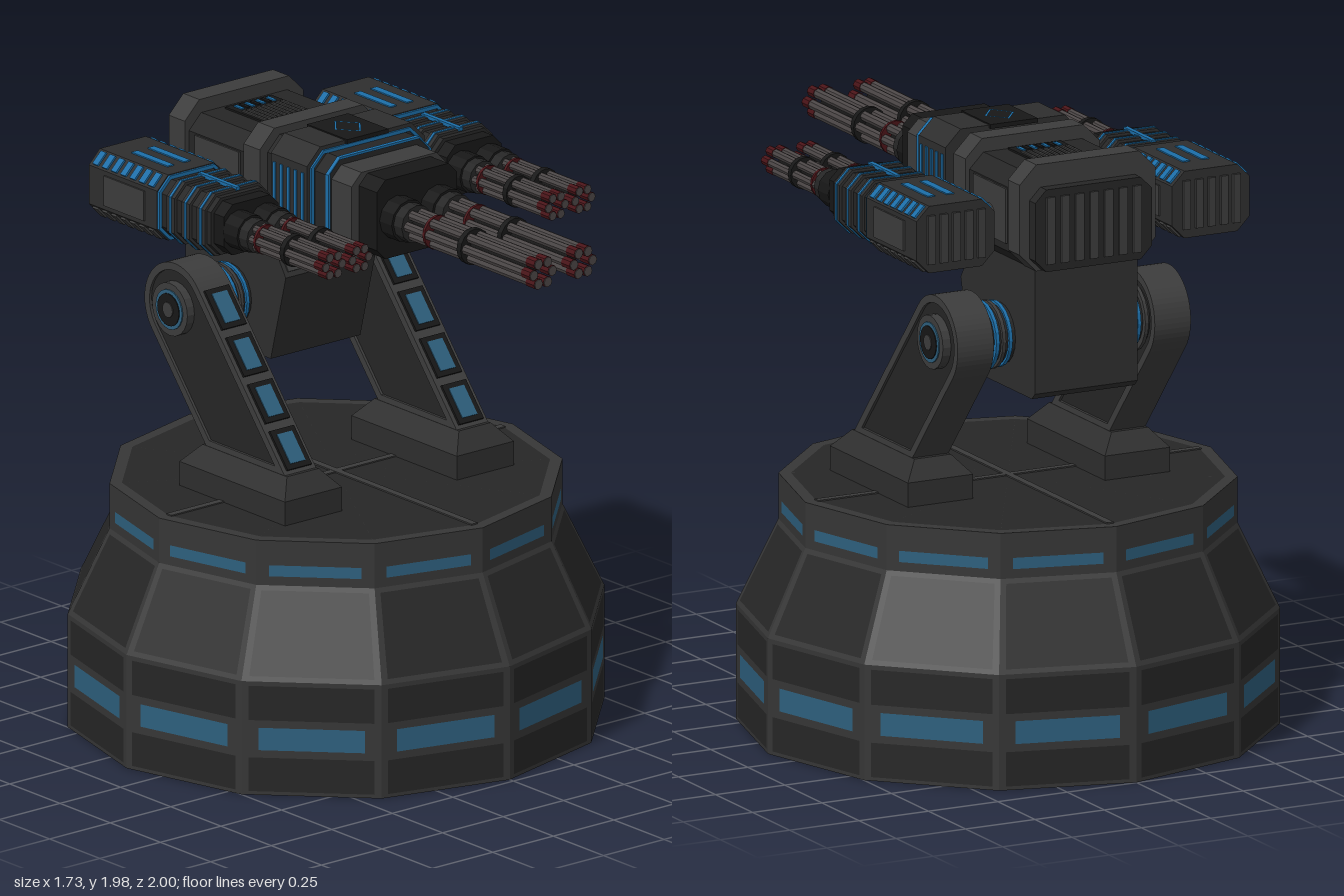
import * as THREE from 'three';
import { mergeGeometries } from 'three/addons/utils/BufferGeometryUtils.js';

const mat = (color, side = THREE.FrontSide) => new THREE.MeshStandardMaterial({ color, side, flatShading: true });
const DARK = mat(0x252525), MID = mat(0x2e2e2e), LIGHT = mat(0x3c3c3c), BLACK = mat(0x171717);
const BLUE = mat(0x1c6ea8), GLASS = mat(0x2d5f7d), RED = mat(0x4a1418), STEEL = mat(0x4b4646);

function add(parent, name, geo, material, x = 0, y = 0, z = 0) {
  const m = new THREE.Mesh(geo, material);
  m.name = name;
  m.position.set(x, y, z);
  parent.add(m);
  return m;
}
function group(parent, name, x = 0, y = 0, z = 0) {
  const g = new THREE.Group();
  g.name = name;
  g.position.set(x, y, z);
  parent.add(g);
  return g;
}
const box = (w, h, d) => new THREE.BoxGeometry(w, h, d);
const rodX = (r, len, n = 20) => new THREE.CylinderGeometry(r, r, len, n).rotateZ(Math.PI / 2);
const rodZ = (r, z0, z1, n = 16) =>
  new THREE.CylinderGeometry(r, r, z1 - z0, n).rotateX(Math.PI / 2).translate(0, 0, (z0 + z1) / 2);

// Rectangle with cut corners
function cutRect(w, h, c, Type = THREE.Shape) {
  const a = w / 2, b = h / 2;
  return new Type([[-a + c, -b], [a - c, -b], [a, -b + c], [a, b - c], [a - c, b], [-a + c, b], [-a, b - c], [-a, -b + c]]
    .map(p => new THREE.Vector2(...p)));
}
// Cut-corner block running from z0 to z1, optionally hollowed to a rim of thickness t
function slab(w, h, c, z0, z1, t = 0) {
  const s = cutRect(w, h, c);
  if (t) s.holes.push(cutRect(w - 2 * t, h - 2 * t, c * 0.8, THREE.Path));
  return new THREE.ExtrudeGeometry(s, { depth: z1 - z0, bevelEnabled: false }).translate(0, 0, z0);
}
// Side profile (z, y) extruded across x, centred on x = 0
const extrudeX = (shape, width) => new THREE.ExtrudeGeometry(shape, { depth: width, bevelEnabled: false, curveSegments: 14 })
  .rotateY(-Math.PI / 2).translate(width / 2, 0, 0);

// Twelve-sided open shell, tiled with ribs, plates and windows
function buildBase(root) {
  const g = group(root, 'base', 0, 0, -0.133);
  const slope = y => 0.865 - (y - 0.38) * 0.482;
  const rows = [ // r0, y0, r1, y1, cell type, half-width of cell
    [0.865, 0, 0.865, 0.012, 'rib'], [0.865, 0.012, 0.865, 0.125, 'plate', 0.9],
    [0.865, 0.125, 0.865, 0.15, 'rib'], [0.865, 0.15, 0.865, 0.225, 'window', 0.76],
    [0.865, 0.225, 0.865, 0.25, 'rib'], [0.865, 0.25, 0.865, 0.365, 'plate', 0.9],
    [0.865, 0.365, 0.865, 0.38, 'rib'], [0.865, 0.38, slope(0.395), 0.395, 'rib'],
    [slope(0.395), 0.395, slope(0.645), 0.645, 'plate', 0.9], [slope(0.645), 0.645, 0.73, 0.66, 'rib'],
    [0.73, 0.66, 0.73, 0.69, 'rib'], [0.73, 0.69, 0.73, 0.727, 'window', 0.78], [0.73, 0.727, 0.73, 0.81, 'rib'],
    [0.73, 0.81, 0.69, 0.81, 'rib'], [0.69, 0.81, 0.001, 0.81, 'plate', 0.999]];
  const cells = { rib: [], plate: [], window: [] };
  const sx = Math.sin(Math.PI / 12), cz = Math.cos(Math.PI / 12);
  for (let k = 0; k < 12; k++) {
    const cell = (type, [r0, y0, r1, y1], u0, u1) => {
      const pt = (u, r, y) => [u * r * sx, y, r * cz];
      const a = pt(u0, r0, y0), b = pt(u1, r0, y0), c = pt(u1, r1, y1), d = pt(u0, r1, y1);
      const q = new THREE.BufferGeometry();
      q.setAttribute('position', new THREE.Float32BufferAttribute([a, b, c, a, c, d].flat(), 3));
      q.computeVertexNormals();
      cells[type].push(q.rotateY((k + 0.5) * Math.PI / 6));
    };
    for (const row of rows) {
      const [type, u] = row.slice(4);
      if (type === 'rib') { cell('rib', row, -1, 1); continue; }
      cell('rib', row, -1, -u);
      cell(type, row, -u, u);
      cell('rib', row, u, 1);
    }
  }
  add(g, 'baseRibs', mergeGeometries(cells.rib), mat(0x363636, THREE.DoubleSide));
  add(g, 'basePlates', mergeGeometries(cells.plate), mat(0x262626, THREE.DoubleSide));
  add(g, 'baseWindows', mergeGeometries(cells.window), mat(0x2d5f7d, THREE.DoubleSide));
  add(g, 'deckSeam', box(1.38, 0.006, 0.025), LIGHT, 0, 0.811, 0);
  add(g, 'deckSeam', box(0.025, 0.006, 1.38), LIGHT, 0, 0.8115, 0);
}

// Slanted arm outline with a round top end of radius r
function legOutline(r, yBottom, Type) {
  const ang = 0.697, nz = Math.cos(ang), ny = Math.sin(ang), k = Math.tan(ang);
  const p = new Type(), c = [-0.43, 1.37];
  p.moveTo(c[0] + r * nz + (c[1] + r * ny - yBottom) * k, yBottom);
  p.lineTo(c[0] + r * nz, c[1] + r * ny);
  p.absarc(c[0], c[1], r, ang, ang + Math.PI, false);
  p.lineTo(c[0] - r * nz + (c[1] - r * ny - yBottom) * k, yBottom);
  p.closePath();
  return p;
}

function buildLeg(root, s) {
  const g = group(root, s > 0 ? 'leftLeg' : 'rightLeg', s * 0.355);
  add(g, 'foot', box(0.235, 0.08, 0.525), MID, 0, 0.85, -0.08);
  const taper = box(0.235, 0.06, 0.525), p = taper.attributes.position;
  for (let i = 0; i < p.count; i++) if (p.getY(i) > 0) { p.setX(i, p.getX(i) * 0.56); p.setZ(i, p.getZ(i) * 0.8); }
  add(g, 'footTaper', taper, MID, 0, 0.92, -0.08);
  const rim = legOutline(0.15, 0.94, THREE.Shape);
  rim.holes.push(legOutline(0.125, 0.97, THREE.Path));
  add(g, 'legRim', extrudeX(rim, 0.13), LIGHT);
  add(g, 'legCore', extrudeX(legOutline(0.126, 0.96, THREE.Shape), 0.112), DARK);
  // Windows along the slanted front edge
  for (let i = 0; i < 4; i++) {
    const y = 1.015 + i * 0.129, w = group(g, 'legWindow', 0, y, 0.12 - (y - 0.95) * 0.837);
    w.rotation.x = -0.697;
    add(w, 'windowFrame', box(0.1, 0.14, 0.012), BLACK);
    add(w, 'windowPane', box(0.062, 0.105, 0.018), GLASS);
  }
  // Pivot hub outside, ringed joint inside
  add(g, 'hub', rodX(0.088, 0.05), LIGHT, s * 0.06, 1.37, -0.43);
  add(g, 'hubRing', rodX(0.066, 0.008), GLASS, s * 0.085, 1.37, -0.43);
  add(g, 'hubCap', rodX(0.054, 0.014), BLACK, s * 0.085, 1.37, -0.43);
  add(g, 'hubBolt', rodX(0.025, 0.02), LIGHT, s * 0.085, 1.37, -0.43);
  add(g, 'joint', rodX(0.1, 0.12), DARK, -s * 0.115, 1.37, -0.43);
  [0.075, 0.1, 0.125, 0.15].forEach((x, i) =>
    add(g, 'jointRing', rodX(0.117 - i * 0.003, 0.012), i % 2 ? BLUE : LIGHT, -s * x, 1.37, -0.43));
}

// Bundle of six thin barrels from z0 to z1
function buildGun(parent, name, x, r, z0, z1, marks) {
  const g = group(parent, name, x);
  const tube = r * 0.3, ring = r - tube, tubes = [];
  for (let i = 0; i < 6; i++) {
    const a = i * Math.PI / 3;
    tubes.push(rodZ(tube, z0, z1, 8).translate(Math.cos(a) * ring, Math.sin(a) * ring, 0));
    add(g, 'muzzle', rodZ(tube * 1.12, z1 - 0.045, z1 - 0.003, 8), RED, Math.cos(a) * ring, Math.sin(a) * ring);
  }
  add(g, 'barrels', mergeGeometries(tubes), STEEL);
  add(g, 'core', rodZ(r * 0.4, z0, z1 - 0.06, 8), BLACK);
  add(g, 'clamp', rodZ(r * 1.1, marks[0] - 0.01, marks[0] + 0.01), BLACK);
  add(g, 'band', rodZ(r * 1.03, marks[1] - 0.005, marks[1] + 0.005), RED);
  add(g, 'socket', rodZ(r * 1.3, z0 - 0.07, z0, 12), BLACK);
  add(g, 'collar', rodZ(r * 1.15, z0, z0 + 0.04, 12), DARK);
}

function buildHead(root) {
  const neck = new THREE.Shape([[-0.235, 1.2], [-0.16, 1.49], [-0.25, 1.63], [-0.66, 1.63], [-0.66, 1.22], [-0.64, 1.2]]
    .map(p => new THREE.Vector2(...p)));
  add(root, 'neck', extrudeX(neck, 0.37), MID);
  for (const i of [-1, 0, 1]) {
    const pane = add(root, 'neckPlate', box(0.105, 0.11, 0.012), LIGHT, i * 0.117, 1.55, -0.2);
    pane.rotation.x = -0.571;
  }
  const g = group(root, 'head', 0, 1.787, 0);
  const parts = [ // name, w, h, cut, z0, z1, material, y shift
    ['rearCap', 0.42, 0.27, 0.04, -0.71, -0.66, DARK, -0.02], ['rearFrame', 0.49, 0.35, 0.06, -0.67, -0.59, LIGHT, 0.015],
    ['housing', 0.455, 0.31, 0.05, -0.6, -0.28, DARK, -0.01], ['midFrame', 0.485, 0.37, 0.06, -0.3, -0.22, LIGHT, 0.005],
    ['frontHousing', 0.42, 0.33, 0.05, -0.23, 0.08, DARK, 0], ['frontFrame', 0.485, 0.38, 0.055, -0.165, 0.015, MID, 0],
    ['nose', 0.39, 0.28, 0.04, 0.07, 0.18, LIGHT, 0], ['shroud', 0.33, 0.265, 0.035, 0.17, 0.27, BLACK, 0]];
  for (const [name, w, h, c, z0, z1, m, y] of parts) add(g, name, slab(w, h, c, z0, z1), m, 0, y);
  add(g, 'glowRim', slab(0.46, 0.355, 0.05, 0.01, 0.022, 0.012), BLUE);
  add(g, 'glowRim', slab(0.425, 0.335, 0.05, 0.07, 0.085, 0.008), BLUE);
  // Back grille
  for (let i = -3; i <= 3; i++) add(g, 'rearBar', box(0.03, 0.22, 0.02), LIGHT, i * 0.052, -0.02, -0.708);
  // Roof vent and roof hatch with a diamond outline
  add(g, 'vent', box(0.19, 0.012, 0.26), BLACK, 0, 0.145, -0.44);
  for (let i = -4; i <= 4; i++) {
    add(g, 'ventSlat', box(0.009, 0.012, 0.12), LIGHT, i * 0.02, 0.15, -0.44);
    if (Math.abs(i) < 4) for (const z of [-0.535, -0.345]) add(g, 'ventLight', box(0.012, 0.01, 0.04), i % 2 ? BLUE : BLACK, i * 0.022, 0.15, z);
  }
  add(g, 'hatch', box(0.17, 0.014, 0.2), BLACK, 0, 0.187, -0.075);
  const diamond = new THREE.RingGeometry(0.056, 0.067, 4, 1).rotateX(-Math.PI / 2).scale(0.8, 1, 1);
  add(g, 'hatchDiamond', diamond, BLUE, 0, 0.196, -0.075);
  for (const s of [-1, 1]) {
    for (let i = 0; i < 5; i++) add(g, 'sideLight', box(0.01, 0.22, 0.012), BLUE, s * 0.242, 0, -0.145 + i * 0.035);
    add(g, 'sidePlate', box(0.012, 0.18, 0.22), LIGHT, s * 0.228, 0, -0.445);
    buildGun(g, 'mainGun', s * 0.083, 0.055, 0.33, 1, [0.65, 0.47]);
  }
}

function buildPod(root, s) {
  const g = group(root, s > 0 ? 'leftPod' : 'rightPod', s * 0.46, 1.77, 0);
  add(g, 'podArm', rodX(0.036, 0.14), LIGHT, -s * 0.18, 0, -0.445);
  add(g, 'armCollar', rodX(0.055, 0.03), DARK, -s * 0.155, 0, -0.445);
  add(g, 'podBody', slab(0.28, 0.22, 0.045, -0.64, -0.3), MID);
  add(g, 'podRim', slab(0.275, 0.215, 0.045, -0.302, -0.292, 0.012), BLUE);
  add(g, 'podMid', slab(0.25, 0.19, 0.04, -0.3, -0.05), DARK);
  add(g, 'podFront', slab(0.225, 0.17, 0.035, -0.05, 0.0), BLACK);
  for (const z of [-0.24, -0.165, -0.09]) {
    add(g, 'podBand', slab(0.268, 0.208, 0.045, z - 0.02, z + 0.02), MID);
    add(g, 'podBandLight', slab(0.274, 0.214, 0.046, z - 0.005, z + 0.005), BLUE);
  }
  add(g, 'podSpineLight', box(0.016, 0.012, 0.19), BLUE, 0, 0.105, -0.16);
  for (const e of [-1, 1]) {
    add(g, 'podRoofLight', box(0.026, 0.012, 0.18), BLUE, e * 0.034, 0.108, -0.45);
    add(g, 'podSidePanel', box(0.012, 0.1, 0.2), LIGHT, e * 0.14, 0, -0.46);
    // Rows of teeth along the cut corners
    for (let i = 0; i < 7; i++) for (const v of [-1, 1]) {
      const tooth = add(g, 'podTooth', box(0.05, 0.012, 0.026), v > 0 ? BLUE : LIGHT, e * 0.118, v * 0.088, -0.61 + i * 0.046);
      tooth.rotation.z = -e * v * Math.PI / 4;
    }
    buildGun(g, 'podGun', e * 0.055, 0.048, 0.07, 0.48, [0.28, 0.14]);
  }
  for (let i = -2; i <= 2; i++) add(g, 'podRearBar', box(0.026, 0.16, 0.018), LIGHT, i * 0.045, 0, -0.642);
}

export function createModel() {
  const root = new THREE.Group();
  root.name = 'turret';
  buildBase(root);
  buildHead(root);
  for (const s of [-1, 1]) { buildLeg(root, s); buildPod(root, s); }
  return root;
}
